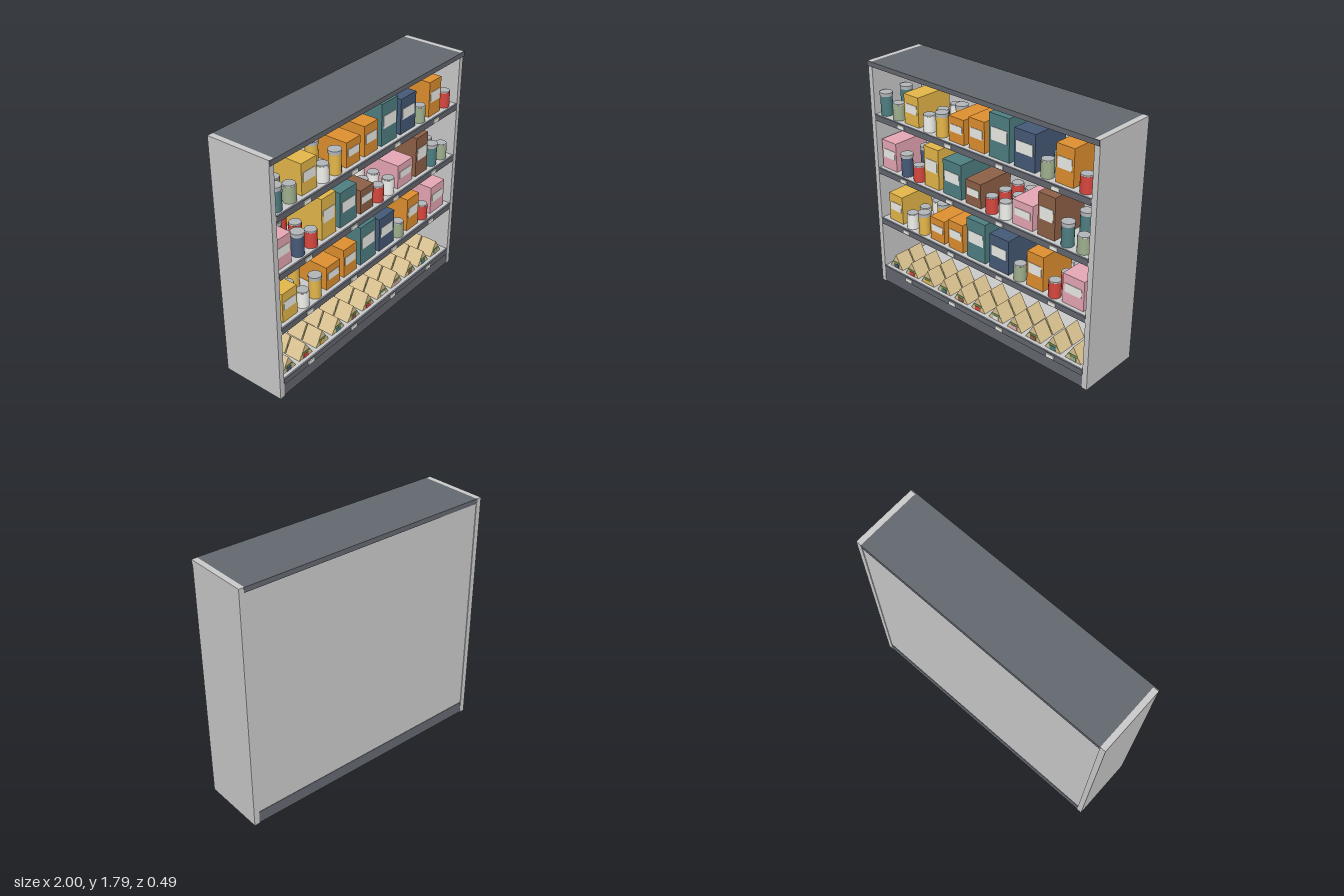
import * as THREE from 'three';

const C = {
  grey: 0xcccccc, dark: 0x646870, label: 0xeeeeea, metal: 0xb4b7ba, tan: 0xdcc492, stripe: 0x7fa05a,
  yellow: 0xe6b84a, orange: 0xe0902f, teal: 0x4f7f82, navy: 0x465a78, pink: 0xe8a8b6,
  brown: 0x8f6147, red: 0xd8473f, green: 0x9fb08e, white: 0xf2f2ee,
};
const mats = {};
const mat = (key) => (mats[key] ??= new THREE.MeshStandardMaterial({ color: C[key] }));

function add(parent, name, geometry, key, x = 0, y = 0, z = 0) {
  const mesh = new THREE.Mesh(geometry, mat(key));
  mesh.name = name;
  mesh.position.set(x, y, z);
  parent.add(mesh);
  return mesh;
}

// Box given by its extents on each axis
function block(parent, name, key, x0, x1, y0, y1, z0, z1) {
  return add(parent, name, new THREE.BoxGeometry(x1 - x0, y1 - y0, z1 - z0), key,
    (x0 + x1) / 2, (y0 + y1) / 2, (z0 + z1) / 2);
}

function group(parent, name, x = 0, y = 0, z = 0) {
  const g = new THREE.Group();
  g.name = name;
  g.position.set(x, y, z);
  parent.add(g);
  return g;
}

// Carton with a blank label on its front
function carton(parent, key, x, y, w, h) {
  const g = group(parent, 'carton', x, y);
  block(g, 'cartonBody', key, -w / 2, w / 2, 0, h, -0.1, 0.2);
  block(g, 'cartonLabel', 'label', -w * 0.39, w * 0.39, h * 0.4, h * 0.7, 0.198, 0.203);
}

// Row of short cans, one behind the other
function cans(parent, key, x, y) {
  for (let i = 0; i < 3; i++) {
    const g = group(parent, 'can', x, y, 0.175 - i * 0.13);
    add(g, 'canBody', new THREE.CylinderGeometry(0.044, 0.044, 0.115, 20), key, 0, 0.0575);
    add(g, 'canLid', new THREE.CylinderGeometry(0.041, 0.043, 0.008, 20), 'metal', 0, 0.119);
  }
}

// Row of taller jars with wide lids
function jars(parent, key, x, y) {
  for (let i = 0; i < 2; i++) {
    const g = group(parent, 'jar', x, y, 0.175 - i * 0.19);
    add(g, 'jarBody', new THREE.CylinderGeometry(0.043, 0.043, 0.146, 20), key, 0, 0.073);
    add(g, 'jarLid', new THREE.CylinderGeometry(0.046, 0.046, 0.025, 20), 'metal', 0, 0.1575);
  }
}

function extrude(points, depth) {
  const shape = new THREE.Shape(points.map(([x, y]) => new THREE.Vector2(x, y)));
  return new THREE.ExtrudeGeometry(shape, { depth, bevelEnabled: false });
}

// Triangular pack with a stripe and a label on its front
function wedgePack(parent, key, x, y, z) {
  const g = group(parent, 'wedgePack', x, y, z);
  const w = 0.067, h = 0.112, half = (t) => w * (1 - t / h);
  add(g, 'packBody', extrude([[-w, 0], [w, 0], [0, h]], 0.125), 'tan', 0, 0, -0.125);
  const a = 0.035, b = 0.05;
  add(g, 'packStripe', extrude([[-half(a), a], [half(a), a], [half(b), b], [-half(b), b]], 0.003), 'stripe');
  block(g, 'packLabel', key, -0.025, 0.025, 0.001, 0.033, 0, 0.003);
}

export function createModel() {
  const model = new THREE.Group();
  model.name = 'stockedShelfUnit';

  // Cabinet
  for (const s of [-1, 1]) {
    add(model, 'sidePanel', new THREE.BoxGeometry(0.04, 1.79, 0.4825), 'grey', s * 0.98, 0.895, -0.00375);
  }
  block(model, 'backPanel', 'grey', -0.96, 0.96, 0.07, 1.77, -0.24, -0.22);
  block(model, 'plinth', 'dark', -0.96, 0.96, 0.003, 0.094, -0.243, 0.233);
  block(model, 'topPanel', 'dark', -0.965, 0.965, 1.755, 1.79, -0.246, 0.24);
  block(model, 'topFrontEdge', 'dark', -1, 1, 1.755, 1.79, 0.2375, 0.248);

  // Shelves with front strips and price tags
  const levels = [0.142, 0.562, 0.98, 1.398];
  for (const y of levels) {
    const shelf = group(model, 'shelf', 0, y);
    block(shelf, 'shelfDeck', 'grey', -0.96, 0.96, -0.035, 0, -0.22, 0.225);
    block(shelf, 'shelfFrontStrip', 'dark', -0.96, 0.96, -0.044, 0.001, 0.224, 0.24);
    for (const x of [-0.69, -0.23, 0.23, 0.69]) {
      block(shelf, 'priceTag', 'label', x - 0.032, x + 0.032, -0.037, -0.008, 0.238, 0.247);
    }
  }

  // Wedge packs on the bottom shelf, two deep
  const packs = ['navy', 'red', 'yellow', 'teal', 'brown', 'red', 'white', 'pink', 'brown', 'teal', 'green'];
  packs.forEach((key, i) => {
    for (const z of [0.2, 0.065]) wedgePack(model, key, -0.87 + i * 0.172, levels[0], z);
  });

  // Goods per shelf: [colour, x, width, height] is a carton, [colour, x, kind] a can or jar row
  const stock = [
    [['yellow', -0.835, 0.14, 0.22], ['white', -0.684, cans], ['yellow', -0.56, jars],
      ['orange', -0.402, 0.14, 0.18], ['orange', -0.22, 0.14, 0.22], ['teal', -0.022, 0.172, 0.305],
      ['navy', 0.192, 0.172, 0.262], ['green', 0.36, cans], ['orange', 0.51, 0.14, 0.262],
      ['red', 0.66, cans], ['pink', 0.828, 0.172, 0.22]],
    [['pink', -0.875, 0.145, 0.22], ['navy', -0.715, jars], ['red', -0.59, cans],
      ['yellow', -0.44, 0.14, 0.305], ['teal', -0.24, 0.172, 0.262], ['brown', -0.043, 0.14, 0.18],
      ['red', 0.107, cans], ['white', 0.228, cans], ['pink', 0.395, 0.172, 0.18],
      ['brown', 0.592, 0.14, 0.305], ['teal', 0.748, jars], ['green', 0.875, cans]],
    [['teal', -0.9, jars], ['green', -0.773, cans], ['yellow', -0.62, 0.14, 0.22],
      ['white', -0.468, cans], ['yellow', -0.345, jars], ['orange', -0.19, 0.14, 0.18],
      ['orange', -0.006, 0.14, 0.22], ['teal', 0.192, 0.172, 0.305], ['navy', 0.405, 0.172, 0.262],
      ['green', 0.572, cans], ['orange', 0.724, 0.14, 0.262], ['red', 0.875, cans]],
  ];
  stock.forEach((row, i) => {
    for (const [key, x, a, h] of row) {
      if (typeof a === 'function') a(model, key, x, levels[i + 1]);
      else carton(model, key, x, levels[i + 1], a, h);
    }
  });
  return model;
}
